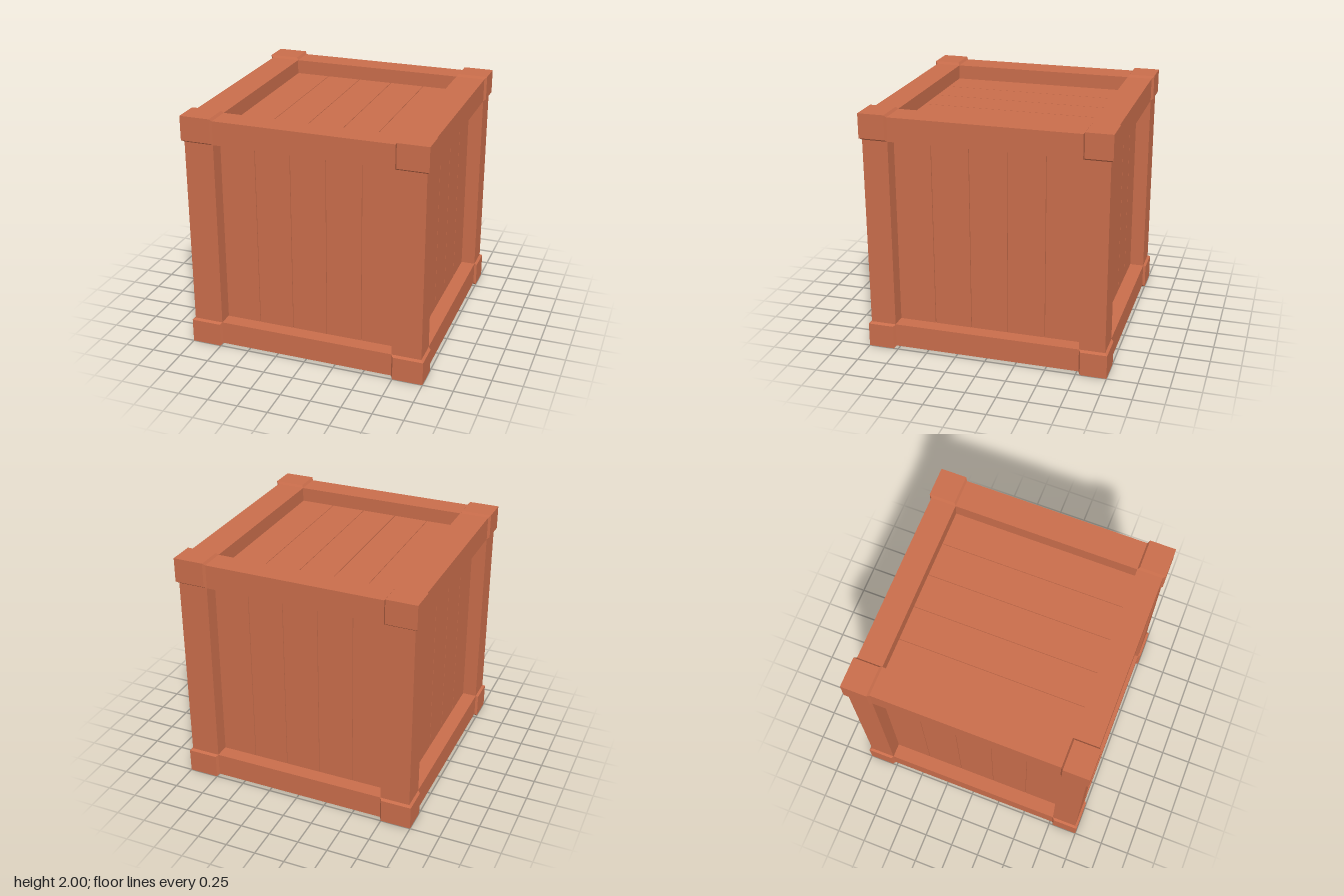
import * as THREE from 'three';
import { ConvexGeometry } from 'three/addons/geometries/ConvexGeometry.js';

const FRAME = 0.98;                  // outer level of the rails and posts
const PANEL = 0.86;                  // outer level of the recessed planks
const INNER = [0.735, 0.785, 0.77];  // inner limits of the frame in x, y, z
const CHAMFER = 0.015;
const GAP = 0.005;
const PLANKS = 5;

export function createModel() {
  const crate = new THREE.Group();
  crate.name = 'crate';
  const wood = new THREE.MeshStandardMaterial({ color: 0xc96d4b, flatShading: true });

  const add = (name, geometry, parent = crate) => {
    const mesh = new THREE.Mesh(geometry, wood);
    mesh.name = name;
    parent.add(mesh);
    return mesh;
  };
  const box = (name, size, position, parent) =>
    add(name, new THREE.BoxGeometry(...size), parent).position.set(...position);

  // Corner caps: blocks whose outer faces are chamfered towards the frame
  for (const sx of [-1, 1]) for (const sy of [-1, 1]) for (const sz of [-1, 1]) {
    const sign = [sx, sy, sz];
    const points = [];
    for (let bits = 0; bits < 8; bits++) {
      const outer = [0, 1, 2].map((i) => (bits >> i) & 1);
      const corner = (level, inset) => points.push(new THREE.Vector3(
        ...outer.map((o, i) => sign[i] * (o ? level : INNER[i] + inset))));
      if (bits > 0) corner(1, CHAMFER);
      if (bits < 7) corner(FRAME, 0);
    }
    add('cornerCap', new ConvexGeometry(points));
  }

  // Frame beams: four along each axis, running between the caps
  const beamNames = ['crossRail', 'post', 'sideRail'];
  for (let axis = 0; axis < 3; axis++) {
    const b = (axis + 1) % 3, c = (axis + 2) % 3;
    for (const sb of [-1, 1]) for (const sc of [-1, 1]) {
      const size = [], position = [0, 0, 0];
      size[axis] = 2 * INNER[axis];
      size[b] = FRAME - INNER[b];
      size[c] = FRAME - INNER[c];
      position[b] = sb * (FRAME + INNER[b]) / 2;
      position[c] = sc * (FRAME + INNER[c]) / 2;
      box(beamNames[axis], size, position);
    }
  }

  // Plank panels: normal axis, axis across the planks, axis along the planks
  const panels = [
    ['sidePanel', 0, 2, 1],
    ['lidOrFloorPanel', 1, 0, 2],
    ['frontOrBackPanel', 2, 0, 1],
  ];
  const thickness = 0.04;
  for (const [name, normal, across, along] of panels) {
    for (const side of [-1, 1]) {
      const panel = new THREE.Group();
      panel.name = name;
      crate.add(panel);
      const pitch = 2 * INNER[across] / PLANKS;
      for (let i = 0; i < PLANKS; i++) {
        const size = [], position = [0, 0, 0];
        size[normal] = thickness;
        size[across] = pitch - GAP;
        size[along] = 2 * INNER[along];
        position[normal] = side * (PANEL - thickness / 2);
        position[across] = (i - (PLANKS - 1) / 2) * pitch;
        box('plank', size, position, panel);
      }
    }
  }

  // Solid core closing the seams between planks
  const core = 2 * (PANEL - 0.02);
  box('core', [core, core, core], [0, 0, 0]);

  // Stand the crate on the ground
  crate.children.forEach((part) => { part.position.y += 1; });
  return crate;
}
